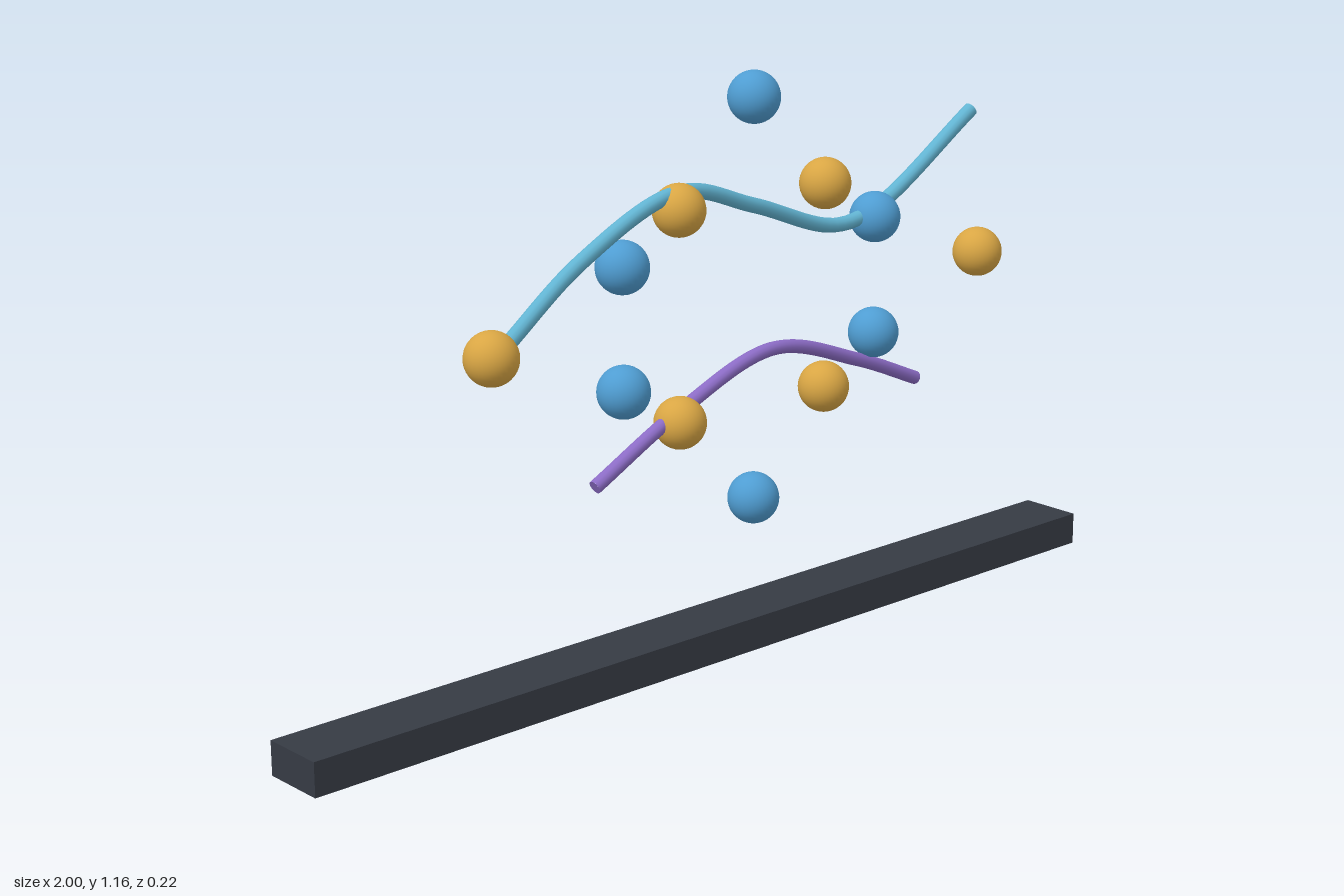
import * as THREE from 'three';

const mat = (name, color) => new THREE.MeshStandardMaterial({ name, color });
const Z = 0.06; // plane of the beads and strands

export function createModel() {
  const group = new THREE.Group();
  const blue = mat('bead blue', 0x4f9dd2);
  const gold = mat('bead gold', 0xd9a644);
  const cyan = mat('strand cyan', 0x62b4d2);
  const purple = mat('strand purple', 0x8c6cc6);
  const slate = mat('base slate', 0x363b44);

  const add = (name, geometry, material, x = 0, y = 0, z = 0) => {
    const mesh = new THREE.Mesh(geometry, material);
    mesh.name = name;
    mesh.position.set(x, y, z);
    group.add(mesh);
  };

  // Base bar
  add('baseBar', new THREE.BoxGeometry(2, 0.067, 0.132), slate, 0, 0.0335, -0.041);

  // Beads, mirrored left and right
  const sphere = new THREE.SphereGeometry(0.05, 32, 20);
  add('topBead', sphere, blue, 0, 1.107, Z);
  add('bottomBead', sphere, blue, 0, 0.332, Z);
  const pairs = [
    ['upperBlueBead', blue, 0.324, 0.835],
    ['lowerBlueBead', blue, 0.324, 0.603],
    ['outerGoldBead', gold, 0.624, 0.72],
    ['upperGoldBead', gold, 0.187, 0.92],
    ['lowerGoldBead', gold, 0.187, 0.518],
  ];
  for (const [name, material, x, y] of pairs) {
    add(name + 'Left', sphere, material, x, y, Z);
    add(name + 'Right', sphere, material, -x, y, Z);
  }

  // Curved strands with flat end caps
  const strand = (name, points, radius, material) => {
    const curve = new THREE.CatmullRomCurve3(points.map(([x, y]) => new THREE.Vector3(x, y, Z)));
    add(name, new THREE.TubeGeometry(curve, 64, radius, 12), material);
    for (const t of [0, 1]) {
      const cap = new THREE.CircleGeometry(radius, 12);
      const out = curve.getTangent(t).multiplyScalar(t ? 1 : -1);
      cap.applyQuaternion(new THREE.Quaternion().setFromUnitVectors(new THREE.Vector3(0, 0, 1), out));
      const p = curve.getPoint(t);
      add(name + 'Cap', cap, material, p.x, p.y, p.z);
    }
  };
  strand('upperStrand', [[-0.6, 0.73], [-0.417, 0.861], [-0.187, 0.953], [0, 0.903],
    [0.214, 0.834], [0.33, 0.855], [0.595, 1.015]], 0.0145, cyan);
  strand('lowerStrand', [[-0.395, 0.437], [-0.187, 0.541], [0.05, 0.618],
    [0.278, 0.556], [0.447, 0.487]], 0.0135, purple);

  return group;
}
